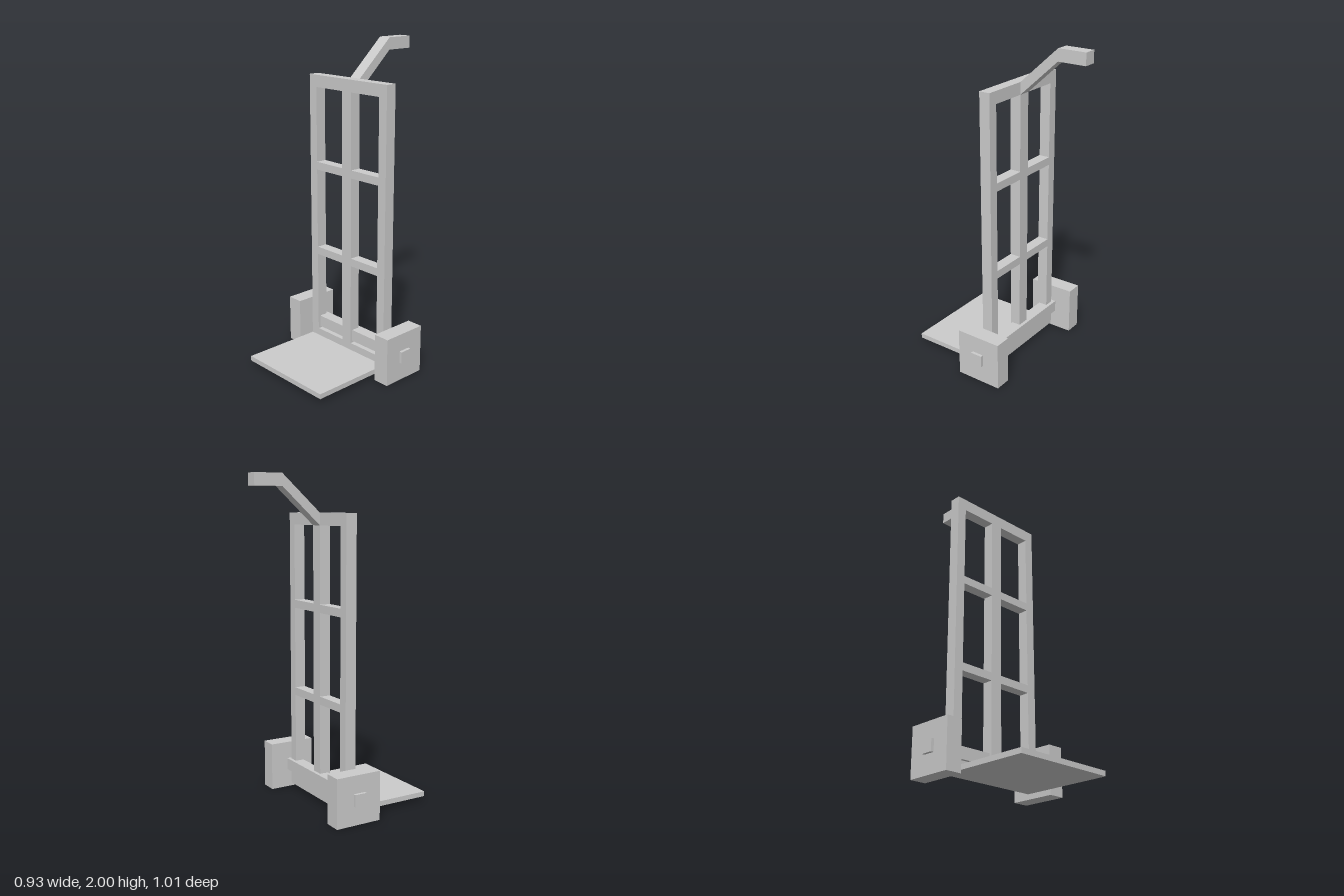
import * as THREE from 'three';

export function createModel() {
  const group = new THREE.Group();
  group.name = 'handTruck';
  const material = new THREE.MeshStandardMaterial({ color: 0xcccccc, flatShading: true });

  function add(name, geometry) {
    const mesh = new THREE.Mesh(geometry, material);
    mesh.name = name;
    group.add(mesh);
    return mesh;
  }

  // Box given by its lower and upper limits on each axis
  function box(name, [x0, x1], [y0, y1], [z0, z1]) {
    const mesh = add(name, new THREE.BoxGeometry(x1 - x0, y1 - y0, z1 - z0));
    mesh.position.set((x0 + x1) / 2, (y0 + y1) / 2, (z0 + z1) / 2);
    return mesh;
  }

  function polygon(points, Type = THREE.Shape) {
    return new Type(points.map(([x, y]) => new THREE.Vector2(x, y)));
  }

  const rect = (x0, x1, y0, y1) => [[x0, y0], [x1, y0], [x1, y1], [x0, y1]];

  // Upright frame: one plate with two columns of three openings
  const halfWidth = 0.327;
  const frameBack = -0.081;
  const frameFront = -0.012;
  const frameShape = polygon(rect(-halfWidth, halfWidth, 0.027, 1.777));
  const openings = [[0.105, 0.627], [0.677, 1.187], [1.237, 1.703]];
  for (const [y0, y1] of openings) {
    for (const [x0, x1] of [[-0.267, -0.039], [0.039, 0.267]]) {
      frameShape.holes.push(polygon(rect(x0, x1, y0, y1), THREE.Path));
    }
  }
  const frame = add('frame', new THREE.ExtrudeGeometry(frameShape, {
    depth: frameFront - frameBack, bevelEnabled: false,
  }));
  frame.position.z = frameBack;

  // Bent handle: side profile as (distance behind centre, height)
  const handleShape = polygon([
    [0.081, 1.703], [0.327, 1.927], [0.503, 1.927],
    [0.503, 2], [0.327, 2], [0.081, 1.777],
  ]);
  const handle = add('handle', new THREE.ExtrudeGeometry(handleShape, {
    depth: 0.08, bevelEnabled: false,
  }));
  handle.rotation.y = Math.PI / 2;
  handle.position.x = -0.04;

  // Load plate at the foot
  box('toePlate', [-halfWidth, halfWidth], [0.027, 0.058], [frameFront, 0.503]);

  // Square axle with a block wheel at each end
  box('axle', [-0.467, 0.467], [0.117, 0.191], [-0.102, -0.026]);
  box('leftWheel', [0.346, 0.449], [0, 0.3], [-0.214, 0.08]);
  box('rightWheel', [-0.449, -0.346], [0, 0.3], [-0.214, 0.08]);

  return group;
}
